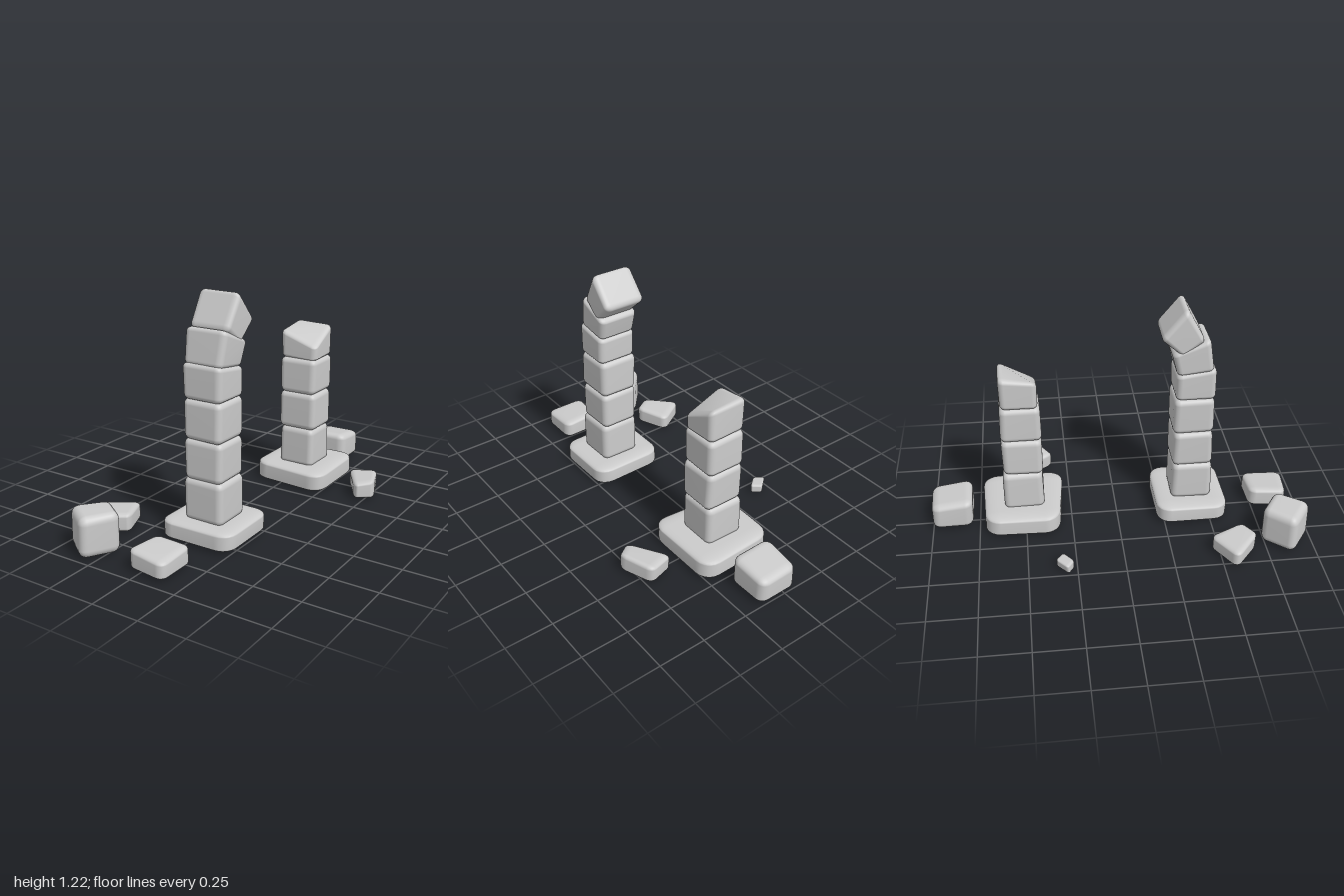
import * as THREE from 'three';
import { RoundedBoxGeometry } from 'three/addons/geometries/RoundedBoxGeometry.js';
import { mergeVertices } from 'three/addons/utils/BufferGeometryUtils.js';

export function createModel() {
  const material = new THREE.MeshStandardMaterial({ color: 0xcccccc });

  let seed = 7;
  const jitter = (a) => {
    seed = (seed * 16807) % 2147483647;
    return (seed / 2147483647 - 0.5) * 2 * a;
  };

  // Worn stone: a rounded cube stretched between a bottom and a top quad.
  // Corners run back-left, back-right, front-right, front-left as [x, y, z].
  function stone(name, bottom, top, { radius = 0.15, waist = 0, grow = 1.03, rough = 0.005 } = {}) {
    const corners = [...bottom, ...top].map((c) => new THREE.Vector3(...c));
    const mid = corners.reduce((s, c) => s.add(c), new THREE.Vector3()).divideScalar(8);
    for (const c of corners) {
      c.x = mid.x + (c.x - mid.x) * grow + jitter(rough);
      c.z = mid.z + (c.z - mid.z) * grow + jitter(rough);
    }
    let geo = new RoundedBoxGeometry(1, 1, 1, 3, radius);
    geo.deleteAttribute('uv');
    geo.deleteAttribute('normal');
    geo = mergeVertices(geo, 1e-4);
    const p = geo.attributes.position;
    const out = new THREE.Vector3();
    for (let i = 0; i < p.count; i++) {
      const u = p.getX(i) + 0.5, v = p.getY(i) + 0.5, w = p.getZ(i) + 0.5;
      const plan = [(1 - u) * (1 - w), u * (1 - w), u * w, (1 - u) * w];
      out.set(0, 0, 0);
      plan.forEach((k, j) => {
        out.addScaledVector(corners[j], k * (1 - v));
        out.addScaledVector(corners[j + 4], k * v);
      });
      const pinch = 1 - waist * 4 * v * (1 - v);
      p.setXYZ(i, mid.x + (out.x - mid.x) * pinch, out.y, mid.z + (out.z - mid.z) * pinch);
    }
    geo.computeVertexNormals();
    const mesh = new THREE.Mesh(geo, material);
    mesh.name = name;
    return mesh;
  }

  // Quad across the pillar, from front and back [z, y] edges
  const band = (x0, x1, [zf, yf], [zb, yb]) =>
    [[x0, yb, zb], [x1, yb, zb], [x1, yf, zf], [x0, yf, zf]];

  // Level or uneven quad over a plan outline of four [x, z] points
  const slab = (outline, heights) =>
    outline.map(([x, z], i) => [x, Array.isArray(heights) ? heights[i] : heights, z]);

  const X0 = -0.05, X1 = 0.16;
  const model = new THREE.Group();
  model.name = 'ruinedPillars';

  // Tall front pillar, leaning backward at the top
  const front = new THREE.Group();
  front.name = 'tallPillar';
  const frontBase = [[-0.155, 0.205], [0.26, 0.205], [0.26, 0.595], [-0.155, 0.595]];
  front.add(stone('tallPillarBase', slab(frontBase, 0.01), slab(frontBase, 0.113),
    { radius: 0.2, waist: 0.04, grow: 1.01 }));
  const courses = [
    [[0.51, 0.10], [0.30, 0.10], [0.51, 0.325], [0.30, 0.325]],
    [[0.51, 0.315], [0.30, 0.315], [0.505, 0.525], [0.30, 0.52]],
    [[0.51, 0.52], [0.30, 0.515], [0.505, 0.725], [0.30, 0.725]],
    [[0.505, 0.72], [0.305, 0.72], [0.505, 0.905], [0.305, 0.87]],
    [[0.495, 0.885], [0.305, 0.865], [0.46, 1.075], [0.28, 0.99]],
    [[0.44, 1.06], [0.325, 0.975], [0.345, 1.24], [0.22, 1.08]],
  ];
  courses.forEach(([bf, bb, tf, tb], i) => front.add(stone(`tallPillarBlock${i + 1}`,
    band(X0, X1, bf, bb), band(X0 - 0.005, X1 + (i > 3 ? 0.01 : 0.002), tf, tb))));
  model.add(front);

  // Shorter back pillar with a broken top corner
  const back = new THREE.Group();
  back.name = 'shortPillar';
  const backBase = [[-0.17, -0.72], [0.275, -0.74], [0.28, -0.28], [-0.175, -0.32]];
  back.add(stone('shortPillarBase', slab(backBase, 0.005), slab(backBase, 0.118),
    { radius: 0.2, waist: 0.05, grow: 1.01 }));
  const levels = [0.10, 0.32, 0.525, 0.72];
  for (let i = 0; i < 3; i++) {
    back.add(stone(`shortPillarBlock${i + 1}`,
      band(X0, X1, [-0.4, levels[i]], [-0.605, levels[i]]),
      band(X0, X1, [-0.4, levels[i + 1] + 0.005], [-0.605, levels[i + 1] + 0.005])));
  }
  const topPlan = [[X0, -0.6], [X1, -0.6], [X1, -0.41], [X0, -0.41]];
  back.add(stone('shortPillarBrokenTop', slab(topPlan, 0.72), slab(topPlan, [0.905, 0.905, 0.79, 0.88])));
  model.add(back);

  // Fallen stones
  const rubble = new THREE.Group();
  rubble.name = 'rubble';
  const fallen = [
    ['largeFallenBlock', [[-0.34, 0.73], [-0.2, 0.83], [-0.3, 0.99], [-0.46, 0.87]], [0.22, 0.225, 0.22, 0.22]],
    ['sideFallenStone', [[-0.375, 0.455], [-0.3, 0.635], [-0.39, 0.69], [-0.54, 0.565]], [0.1, 0.11, 0.11, 0.1]],
    ['frontFallenStone', [[-0.04, 0.74], [0.145, 0.735], [0.145, 0.95], [-0.06, 0.925]], [0.12, 0.11, 0.1, 0.12]],
    ['backFallenBlock', [[-0.06, -0.99], [0.15, -0.995], [0.155, -0.79], [-0.065, -0.79]], [0.15, 0.15, 0.18, 0.18]],
    ['leftFallenStone', [[0.34, -0.53], [0.48, -0.57], [0.54, -0.4], [0.46, -0.34]], [0.1, 0.11, 0.115, 0.1]],
    ['smallChip', [[-0.495, -0.3], [-0.43, -0.36], [-0.385, -0.32], [-0.45, -0.27]], 0.06],
  ];
  for (const [name, outline, heights] of fallen) {
    rubble.add(stone(name, slab(outline, 0.01), slab(outline, heights),
      { radius: 0.2, grow: 1.08, rough: 0.004 }));
  }
  model.add(rubble);
  return model;
}
